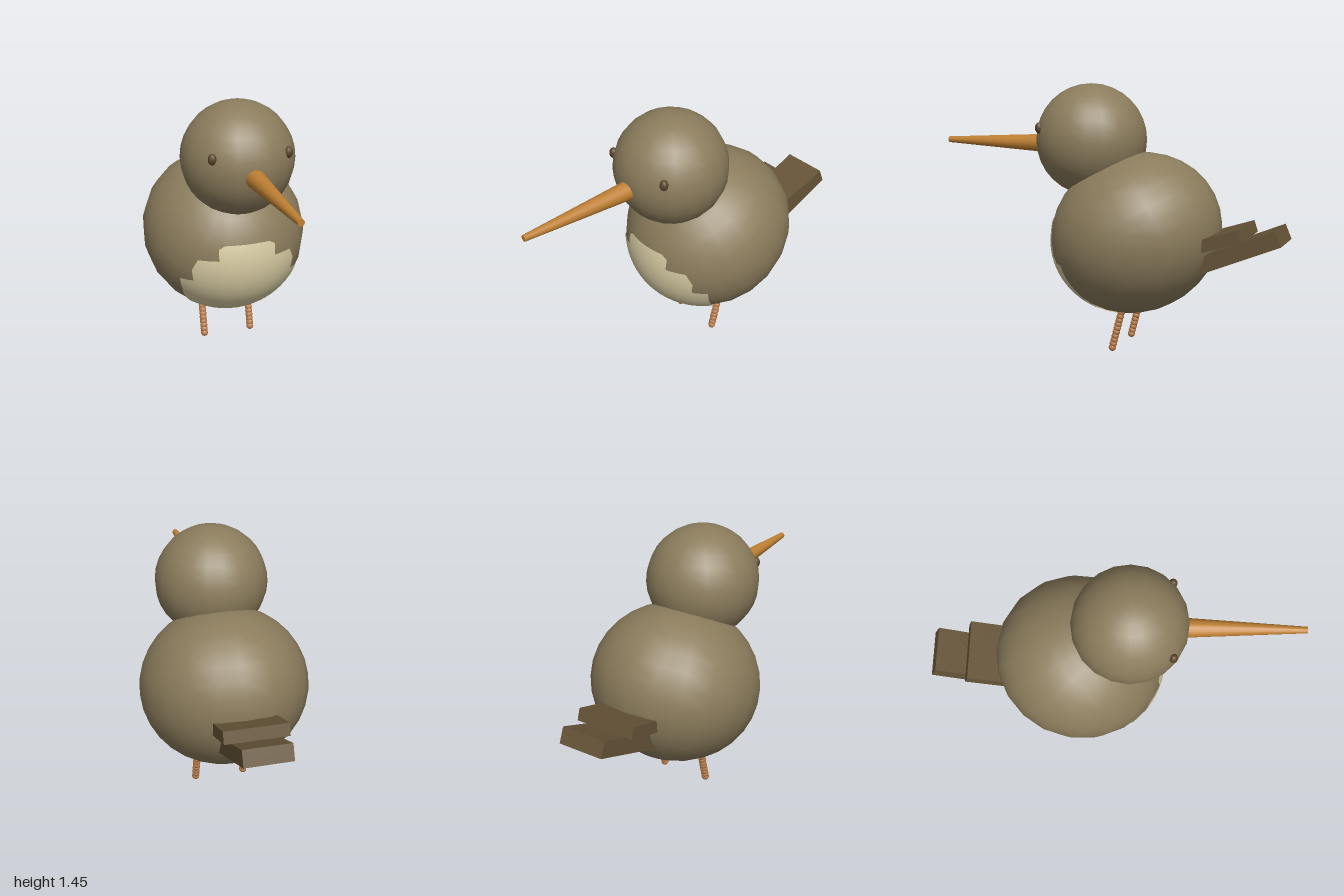
import * as THREE from 'three';

const paint = (name, color) => Object.assign(new THREE.MeshStandardMaterial({ color }), { name });

export function createModel() {
  const plumage = paint('olive brown plumage', 0x8b7c5c);
  const cream = paint('cream belly', 0xd8cca4);
  const horn = paint('amber beak', 0xbf8033);
  const legSkin = paint('copper legs', 0xbf804d);
  const dark = paint('dark brown tail', 0x665438);
  const eyeBrown = paint('eye brown', 0x5c462a);
  cream.side = THREE.DoubleSide;

  const model = new THREE.Group();
  model.name = 'bird';
  const add = (name, geometry, material, x, y, z, parent = model) => {
    const mesh = new THREE.Mesh(geometry, material);
    mesh.name = name;
    mesh.position.set(x, y, z);
    parent.add(mesh);
    return mesh;
  };

  // Body: a slightly elongated, tilted sphere
  const body = new THREE.Group();
  body.name = 'body';
  body.position.set(0, 0.64, -0.175);
  body.rotation.x = 0.5;
  body.scale.set(0.457, 0.43, 0.478);
  body.updateMatrixWorld();
  model.add(body);
  add('torso', new THREE.SphereGeometry(1, 20, 16), plumage, 0, 0, 0, body);

  // Belly patch with a stepped feather edge, hugging the body
  const halfRim = [
    [0, 0.71, 0.26], [0.12, 0.71, 0.25], [0.15, 0.69, 0.24], [0.15, 0.63, 0.25],
    [0.25, 0.63, 0.2], [0.278, 0.57, 0.18], [0.267, 0.505, 0.17], [0.328, 0.5, 0.115],
    [0.31, 0.42, 0.09], [0.29, 0.37, 0.05], [0.24, 0.3, 0], [0.225, 0.27, -0.03],
    [0.16, 0.24, -0.07], [0.13, 0.22, -0.12], [0.06, 0.21, -0.11], [0, 0.2, -0.14],
  ];
  const mirrored = halfRim.slice(1, -1).reverse().map(([x, y, z]) => [-x, y, z]);
  const rim = [...halfRim, ...mirrored].map((p) =>
    body.worldToLocal(new THREE.Vector3(...p)).normalize());
  const middle = body.worldToLocal(new THREE.Vector3(0, 0.43, 0.2)).normalize();
  const steps = 3, rings = 10, count = rim.length * steps;
  const points = [], faces = [];
  for (let r = 0; r <= rings; r++) {
    for (let i = 0; i < count; i++) {
      const k = Math.floor(i / steps);
      const edge = rim[k].clone().lerp(rim[(k + 1) % rim.length], (i % steps) / steps);
      points.push(...middle.clone().lerp(edge, r / rings).normalize().toArray());
      if (r === rings) continue;
      const a = r * count + i, b = r * count + ((i + 1) % count);
      faces.push(a, b + count, a + count);
      if (r > 0) faces.push(a, b, b + count);
    }
  }
  const patch = new THREE.BufferGeometry();
  patch.setAttribute('position', new THREE.Float32BufferAttribute(points, 3));
  patch.setAttribute('normal', new THREE.Float32BufferAttribute(points, 3));
  patch.setIndex(faces);
  add('bellyPatch', patch, cream, 0, 0, 0, body).scale.setScalar(1.006);

  // Head and long tapered beak
  add('head', new THREE.SphereGeometry(0.305, 20, 16), plumage, 0, 1.14, 0.09);
  const beakShape = new THREE.CylinderGeometry(0.017, 0.055, 0.7, 16).rotateX(Math.PI / 2);
  add('beak', beakShape, horn, 0, 1.11, 0.65);

  // Eyes and beaded legs on both sides
  for (const side of [1, -1]) {
    const name = side > 0 ? 'left' : 'right';
    const eye = add(name + 'Eye', new THREE.SphereGeometry(0.03, 12, 8), eyeBrown,
      side * 0.203, 1.21, 0.307);
    eye.scale.set(0.75, 1, 0.75);

    const leg = new THREE.Group();
    leg.name = name + 'Leg';
    model.add(leg);
    const beads = 13;
    for (let i = 0; i < beads; i++) {
      const t = i / (beads - 1);
      add('legBead', new THREE.SphereGeometry(0.021, 12, 8), legSkin,
        side * 0.14, 0.021 + 0.27 * t, -0.095 - 0.07 * t, leg);
    }
  }

  // Two overlapping tail planks, tilted up toward the back
  const plank = (name, width, thick, length, y, z, tilt) => {
    const geometry = new THREE.BoxGeometry(width, thick, length).translate(0, 0, length / 2);
    add(name, geometry, dark, 0, y, z).rotation.x = tilt;
  };
  plank('upperTail', 0.335, 0.065, 0.35, 0.694, -0.8, 0.32);
  plank('lowerTail', 0.25, 0.086, 0.5, 0.685, -0.984, 0.4);

  return model;
}
